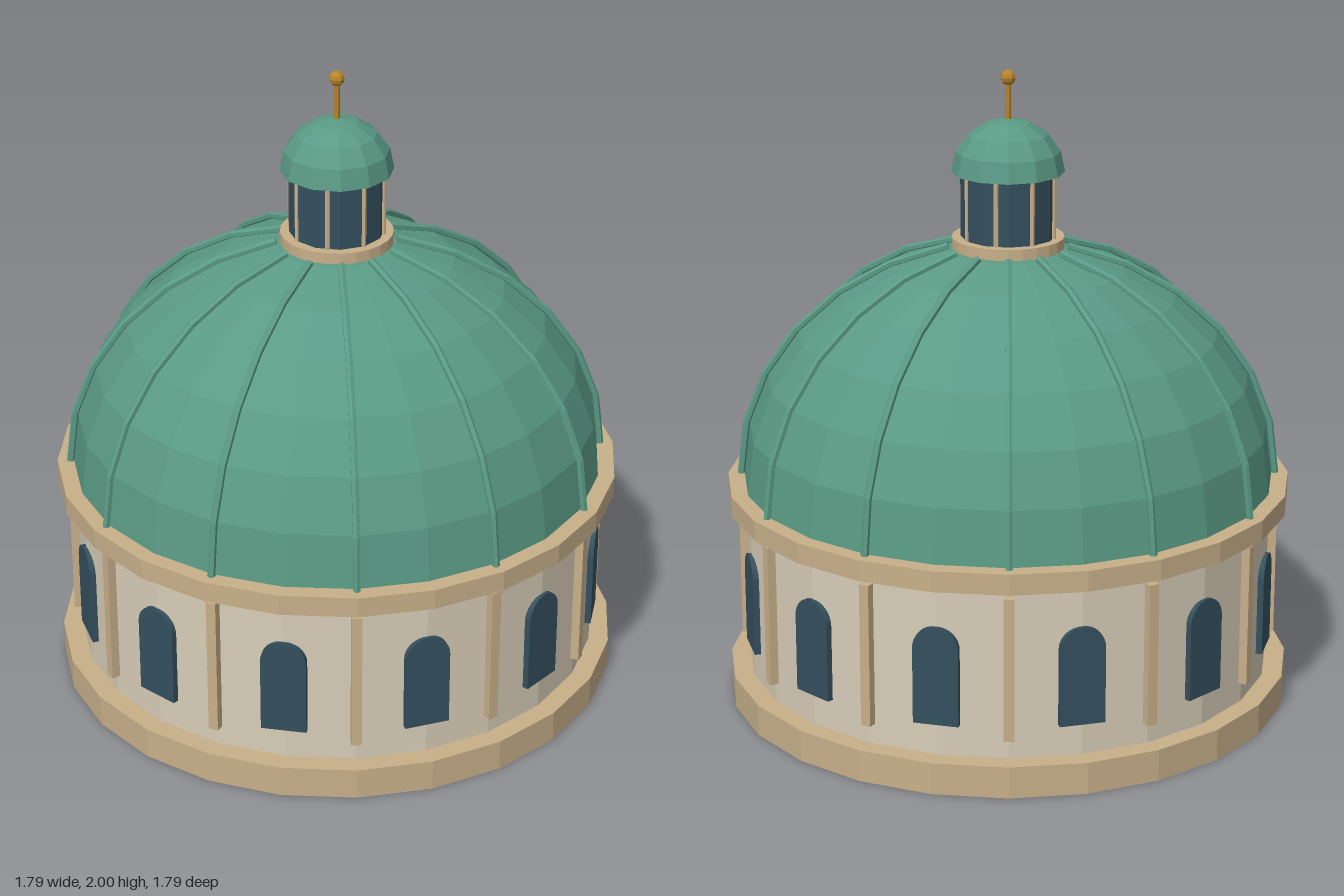
import * as THREE from 'three';

const mat = (color) => new THREE.MeshStandardMaterial({ color, flatShading: true });

export function createModel() {
  const model = new THREE.Group();
  const wall = mat(0xd8cdb8), trim = mat(0xc8b08a), copper = mat(0x5a9a85);
  const glass = mat(0x34505e), gold = mat(0xb8862b);

  const add = (name, geometry, material, parent = model) => {
    const mesh = new THREE.Mesh(geometry, material);
    mesh.name = name;
    parent.add(mesh);
    return mesh;
  };
  // Upright prism between two heights
  const drum = (name, r, y0, y1, sides, material) => {
    const mesh = add(name, new THREE.CylinderGeometry(r, r, y1 - y0, sides), material);
    mesh.position.y = (y0 + y1) / 2;
    return mesh;
  };
  // Ring of groups turned about the vertical axis
  const around = (name, count, offset, build) => {
    for (let i = 0; i < count; i++) {
      const group = new THREE.Group();
      group.name = name;
      group.rotation.y = (i + offset) * Math.PI * 2 / count;
      build(group);
      model.add(group);
    }
  };

  // Masonry
  drum('base', 0.893, 0, 0.1, 24, trim);
  drum('drumWall', 0.83, 0.1, 0.64, 24, wall);
  drum('cornice', 0.887, 0.64, 0.705, 24, trim);

  // Pilasters
  const pilaster = new THREE.BoxGeometry(0.032, 0.45, 0.034);
  around('pilaster', 12, 0, (g) => {
    add('pilasterShaft', pilaster, trim, g).position.set(0, 0.39, 0.838);
  });

  // Arched windows between the pilasters
  const arch = new THREE.Shape();
  arch.moveTo(-0.07, 0.2);
  arch.lineTo(0.07, 0.2);
  arch.lineTo(0.07, 0.44);
  arch.absarc(0, 0.44, 0.07, 0, Math.PI, false);
  arch.closePath();
  const pane = new THREE.ExtrudeGeometry(arch, { depth: 0.03, bevelEnabled: false, curveSegments: 8 });
  around('window', 12, 0.5, (g) => {
    add('windowPane', pane, glass, g).position.z = 0.81;
  });

  // Dome profile, base to crown
  const rows = 7;
  const profile = (r, h) => Array.from({ length: rows + 1 }, (_, i) => {
    const a = i / rows * Math.PI / 2;
    return new THREE.Vector2(i === rows ? 0 : r * Math.cos(a), 0.705 + h * Math.sin(a));
  });
  add('dome', new THREE.LatheGeometry(profile(0.835, 0.752), 24), copper);

  // Ribs: straight rods following the dome rows
  const ribLine = profile(0.845, 0.76).slice(0, rows).map((p) => new THREE.Vector3(0, p.y, p.x));
  const up = new THREE.Vector3(0, 1, 0);
  around('domeRib', 12, 0, (g) => {
    for (let i = 0; i < ribLine.length - 1; i++) {
      const dir = ribLine[i + 1].clone().sub(ribLine[i]);
      const rod = add('ribSegment', new THREE.CylinderGeometry(0.012, 0.012, dir.length() + 0.004, 6), copper, g);
      rod.position.copy(ribLine[i]).addScaledVector(dir, 0.5);
      rod.quaternion.setFromUnitVectors(up, dir.normalize());
    }
  });

  // Lantern
  drum('lanternRing', 0.175, 1.445, 1.48, 24, trim);
  drum('lanternCore', 0.147, 1.48, 1.685, 12, glass);
  const post = new THREE.CylinderGeometry(0.008, 0.008, 0.205, 6);
  around('lanternPost', 8, 0, (g) => {
    add('lanternPostShaft', post, trim, g).position.set(0, 1.5825, 0.145);
  });
  const cap = add('lanternCap',
    new THREE.SphereGeometry(0.175, 12, 4, 0, Math.PI * 2, 0, Math.PI / 2), copper);
  cap.scale.y = 0.95;
  cap.position.y = 1.683;
  const soffit = add('lanternCapUnderside', new THREE.CircleGeometry(0.175, 12), copper);
  soffit.rotation.x = Math.PI / 2;
  soffit.position.y = 1.683;

  // Finial
  drum('finialRod', 0.009, 1.84, 1.97, 6, gold);
  add('finialBall', new THREE.SphereGeometry(0.024, 8, 6), gold).position.y = 1.976;

  return model;
}
